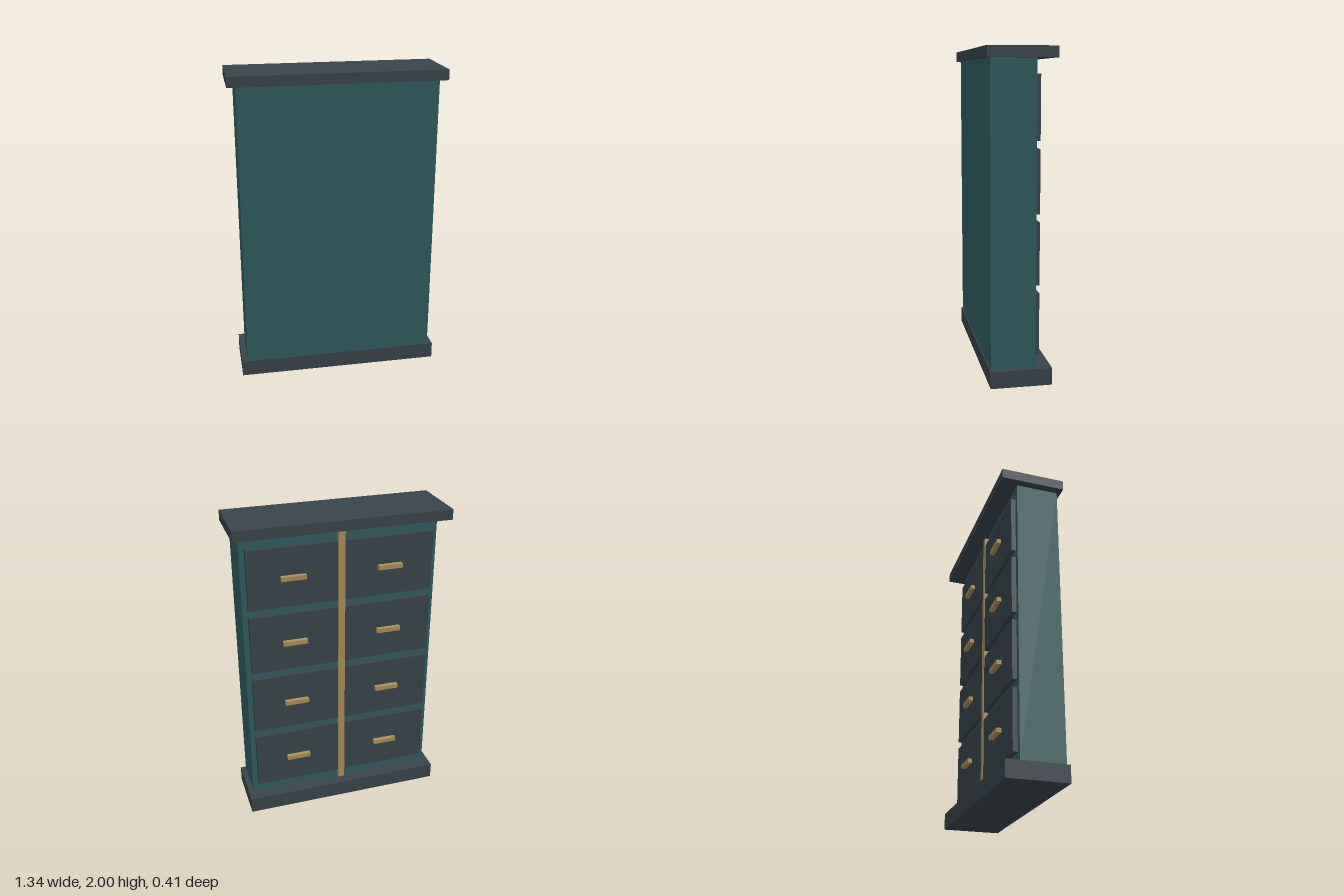
import * as THREE from 'three';

const mat = (name, color) => {
  const m = new THREE.MeshStandardMaterial({ color });
  m.name = name;
  return m;
};

export function createModel() {
  const model = new THREE.Group();
  model.name = 'drawerCabinet';
  const teal = mat('teal paint', 0x2f5d60);
  const charcoal = mat('charcoal', 0x39444b);
  const brass = mat('brass', 0xad8f5a);

  // Box given by its size and centre
  const box = (name, material, [w, h, d], [x, y, z], parent = model) => {
    const mesh = new THREE.Mesh(new THREE.BoxGeometry(w, h, d), material);
    mesh.name = name;
    mesh.position.set(x, y, z);
    parent.add(mesh);
    return mesh;
  };

  // Carcass, plinth and top slab
  box('base', charcoal, [1.31, 0.105, 0.374], [0, 0.0525, 0]);
  box('body', teal, [1.24, 1.835, 0.272], [0, 1.0225, 0.044]);
  box('top', charcoal, [1.34, 0.065, 0.41], [0, 1.9675, 0]);

  // Vertical strip between the drawer columns
  box('centreStrip', brass, [0.042, 1.805, 0.032], [0, 1.0075, -0.107]);

  // Two columns of four drawers, each with a bar handle
  for (const side of [-1, 1]) {
    for (let row = 0; row < 4; row++) {
      const drawer = new THREE.Group();
      drawer.name = 'drawer';
      drawer.position.set(side * 0.306, 0.361 + row * 0.431, 0);
      box('drawerFront', charcoal, [0.562, 0.382, 0.03], [0, 0, -0.106], drawer);
      box('handle', brass, [0.155, 0.028, 0.03], [0, 0, -0.135], drawer);
      model.add(drawer);
    }
  }
  return model;
}
